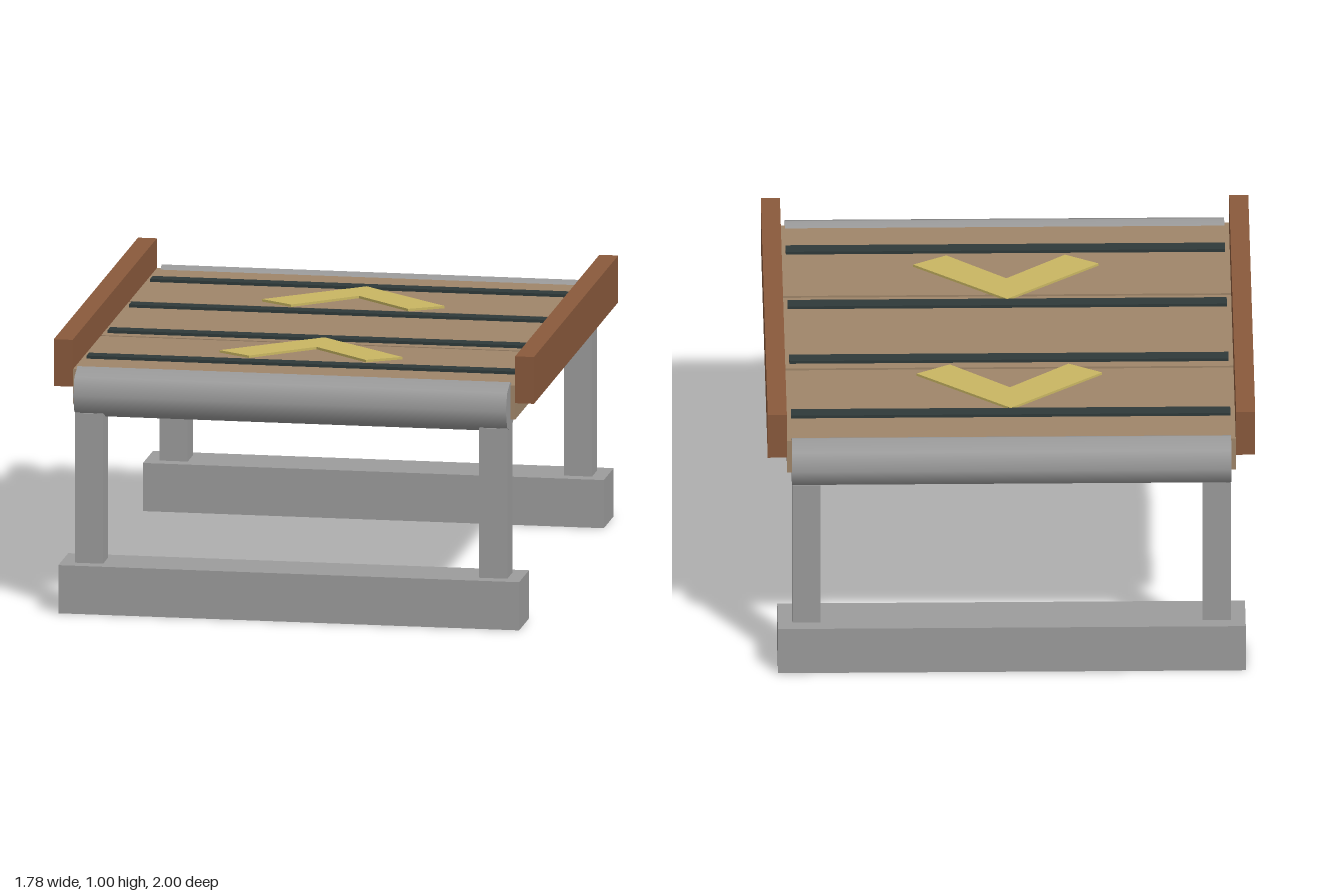
import * as THREE from 'three';

const mat = (name, color) => {
  const m = new THREE.MeshStandardMaterial({ color });
  m.name = name;
  return m;
};

export function createModel() {
  const group = new THREE.Group();
  group.name = 'plankPlatform';
  const steel = mat('grey steel', 0x9c9c9c);
  const deckWood = mat('tan deck wood', 0xa0866a);
  const railWood = mat('brown rail wood', 0x8a5a3c);
  const rubber = mat('dark rubber', 0x2f3a3a);
  const paint = mat('yellow paint', 0xc9b662);

  const add = (name, geometry, material, x = 0, y = 0, z = 0) => {
    const mesh = new THREE.Mesh(geometry, material);
    mesh.name = name;
    mesh.position.set(x, y, z);
    group.add(mesh);
    return mesh;
  };
  // Box given by its minimum and maximum corners
  const box = (name, material, [x0, y0, z0], [x1, y1, z1]) =>
    add(name, new THREE.BoxGeometry(x1 - x0, y1 - y0, z1 - z0), material,
      (x0 + x1) / 2, (y0 + y1) / 2, (z0 + z1) / 2);

  // Ground beams, posts and eight-sided rollers at both ends
  for (const s of [1, -1]) {
    const end = s > 0 ? 'front' : 'back';
    const beamZ = 0.895 * s;
    box(end + 'GroundBeam', steel, [-0.855, 0, beamZ - 0.105], [0.855, 0.18, beamZ + 0.105]);
    for (const t of [1, -1]) {
      box(end + (t > 0 ? 'Left' : 'Right') + 'Post', steel,
        [0.75 * t - 0.052, 0.18, beamZ - 0.053], [0.75 * t + 0.052, 0.74, beamZ + 0.053]);
    }
    const roller = new THREE.CylinderGeometry(0.092, 0.092, 1.606, 8).rotateZ(Math.PI / 2);
    add(end + 'Roller', roller, steel, 0, 0.811, 0.891 * s);
  }

  // Three deck planks with narrow gaps
  for (const i of [-1, 0, 1]) {
    const z = i * 0.595;
    box('deckPlank', deckWood, [-0.82, 0.762, z - 0.29], [0.82, 0.89, z + 0.29]);
  }

  // Side rails
  for (const s of [1, -1]) {
    box(s > 0 ? 'leftRail' : 'rightRail', railWood,
      [0.856 * s - 0.035, 0.825, -0.89], [0.856 * s + 0.035, 1, 0.89]);
  }

  // Grip strips across the deck
  for (const z of [-0.672, -0.224, 0.224, 0.672]) {
    box('gripStrip', rubber, [-0.803, 0.88, z - 0.027], [0.803, 0.901, z + 0.027]);
  }

  // Chevron plates pointing to the back
  const chevron = new THREE.Shape([
    [0, 0], [-0.339, -0.285], [-0.217, -0.359], [0, -0.168], [0.217, -0.359], [0.339, -0.285],
  ].map(([x, y]) => new THREE.Vector2(x, y)));
  const plate = new THREE.ExtrudeGeometry(chevron, { depth: 0.009, bevelEnabled: false })
    .rotateX(-Math.PI / 2);
  for (const z of [-0.649, 0.245]) add('chevronPlate', plate, paint, 0, 0.894, z);

  return group;
}
